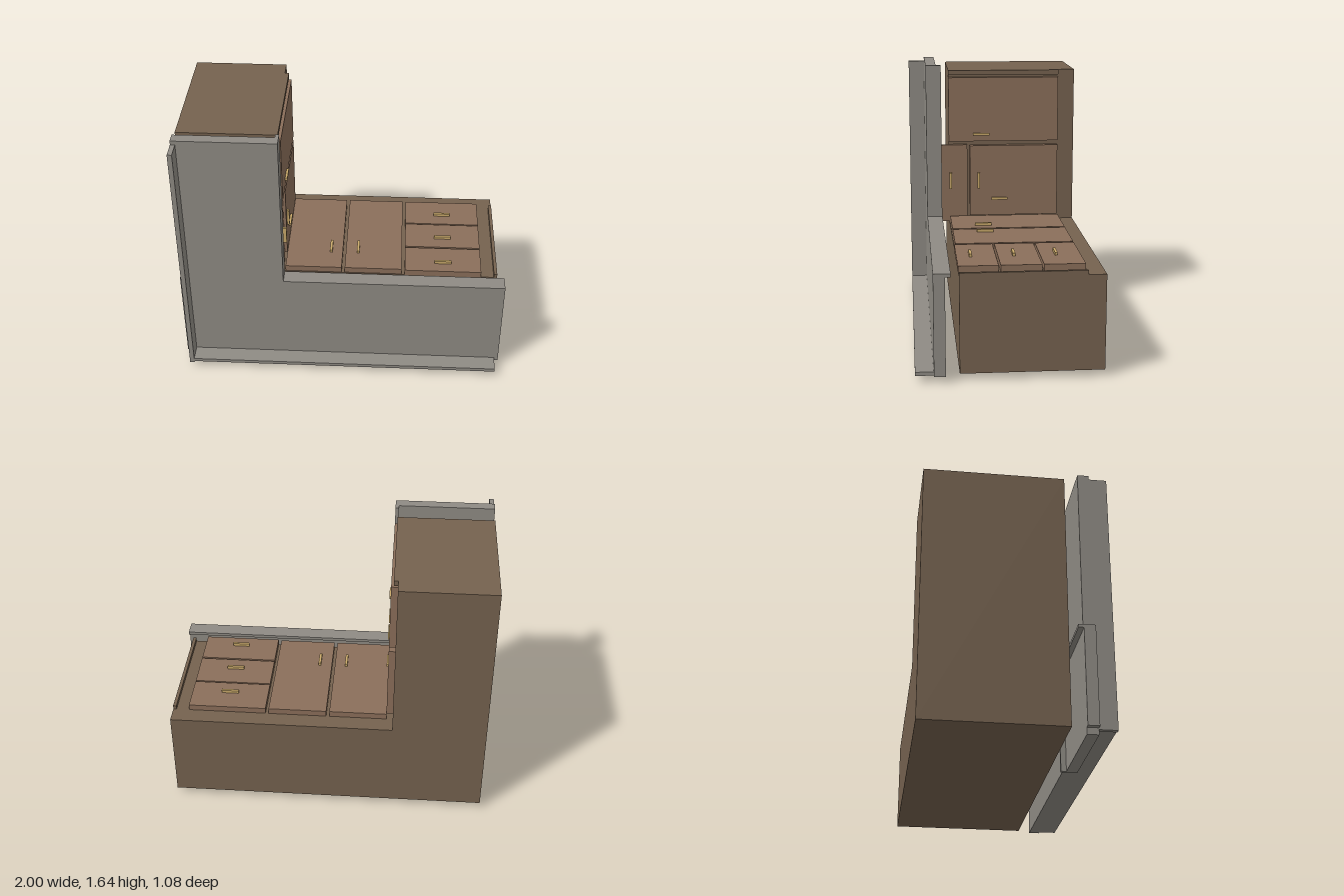
import * as THREE from 'three';

const paint = (color) => new THREE.MeshStandardMaterial({ color });
const mats = {
  carcass: paint(0x75624f),
  door: paint(0x8b6f5a),
  stone: paint(0x8f8b84),
  brass: paint(0xc9a96a),
};

// Closed prism from a flat outline
function prism(points, depth) {
  const shape = new THREE.Shape(points.map(([a, b]) => new THREE.Vector2(a, b)));
  return new THREE.ExtrudeGeometry(shape, { depth, bevelEnabled: false });
}

export function createModel() {
  const root = new THREE.Group();
  root.name = 'cornerKitchenUnit';

  const add = (name, geometry, mat) => {
    const mesh = new THREE.Mesh(geometry, mat);
    mesh.name = name;
    root.add(mesh);
    return mesh;
  };

  // Box given by its extents along each axis
  const block = (name, mat, [x0, x1], [y0, y1], [z0, z1]) => {
    const mesh = add(name, new THREE.BoxGeometry(x1 - x0, y1 - y0, z1 - z0), mat);
    mesh.position.set((x0 + x1) / 2, (y0 + y1) / 2, (z0 + z1) / 2);
  };

  // L-shaped cabinet body
  const body = prism([[-0.97, 0.04], [0.96, 0.04], [0.96, 0.605],
    [-0.4, 0.605], [-0.4, 1.61], [-0.97, 1.61]], 0.83);
  add('cabinetBody', body.translate(0, 0, -0.54), mats.carcass);

  // Raised end panels beyond the recessed plinth
  block('longEndPanel', mats.carcass, [0.94, 0.96], [0.605, 0.63], [-0.435, 0.29]);
  block('shortEndPanel', mats.carcass, [-0.4, -0.375], [1.58, 1.61], [-0.435, 0.29]);

  // Doors and drawers of the long run: x extent, z extent
  const longFronts = [
    ['longRunDoor', [-0.36, -0.01], [-0.435, 0.285]],
    ['longRunDoor', [0.01, 0.365], [-0.435, 0.285]],
    ['drawerFront', [0.385, 0.86], [-0.435, -0.197]],
    ['drawerFront', [0.385, 0.86], [-0.187, 0.05]],
    ['drawerFront', [0.385, 0.86], [0.062, 0.292]],
  ];
  for (const [name, x, z] of longFronts) block(name, mats.door, x, [0.605, 0.642], z);

  // Doors of the short run: y extent, z extent
  block('shortRunDoor', mats.door, [-0.4, -0.36], [1.145, 1.565], [-0.43, 0.29]);
  block('shortRunDoor', mats.door, [-0.4, -0.36], [0.645, 1.115], [-0.43, 0.152]);
  block('cornerDoor', mats.door, [-0.4, -0.375], [0.605, 1.12], [0.168, 0.338]);

  // Bar handles on the long run: centre x, centre z, bar along x or z
  const handlesLong = [[-0.083, 0.083, false], [0.088, 0.083, false],
    [0.623, -0.29, true], [0.623, -0.043, true], [0.623, 0.21, true]];
  for (const [x, z, alongX] of handlesLong) {
    const dx = alongX ? 0.053 : 0.008, dz = alongX ? 0.008 : 0.053;
    block('handle', mats.brass, [x - dx, x + dx], [0.64, 0.66], [z - dz, z + dz]);
  }

  // Bar handles on the short run: centre y, centre z, bar along y or z
  const handlesShort = [[1.192, 0.077, false], [0.758, -0.043, false],
    [0.882, 0.095, true], [0.882, 0.28, true]];
  for (const [y, z, alongY] of handlesShort) {
    const dy = alongY ? 0.053 : 0.008, dz = alongY ? 0.008 : 0.053;
    block('handle', mats.brass, [-0.376, -0.346], [y - dy, y + dy], [z - dz, z + dz]);
  }

  // Worktops: slab with a deeper front nosing, open at both ends
  const longTop = prism([[-0.437, 0.04], [-0.37, 0.04], [-0.37, 0.62],
    [-0.338, 0.62], [-0.338, 0.64], [-0.437, 0.64]], 2);
  add('longWorktop', longTop.rotateY(Math.PI / 2).translate(-1, 0, 0), mats.stone);
  const shortTop = prism([[-0.97, -0.437], [-0.36, -0.437], [-0.36, -0.338],
    [-0.382, -0.338], [-0.382, -0.37], [-0.97, -0.37]], 1.645);
  add('shortWorktop', shortTop.rotateX(-Math.PI / 2), mats.stone);

  // Backsplashes along the two wall sides
  block('longBacksplash', mats.stone, [-0.97, 0.975], [0.04, 0.062], [0.437, 0.543]);
  block('shortBacksplash', mats.stone, [-0.97, -0.942], [0.03, 1.62], [0.437, 0.543]);

  return root;
}
